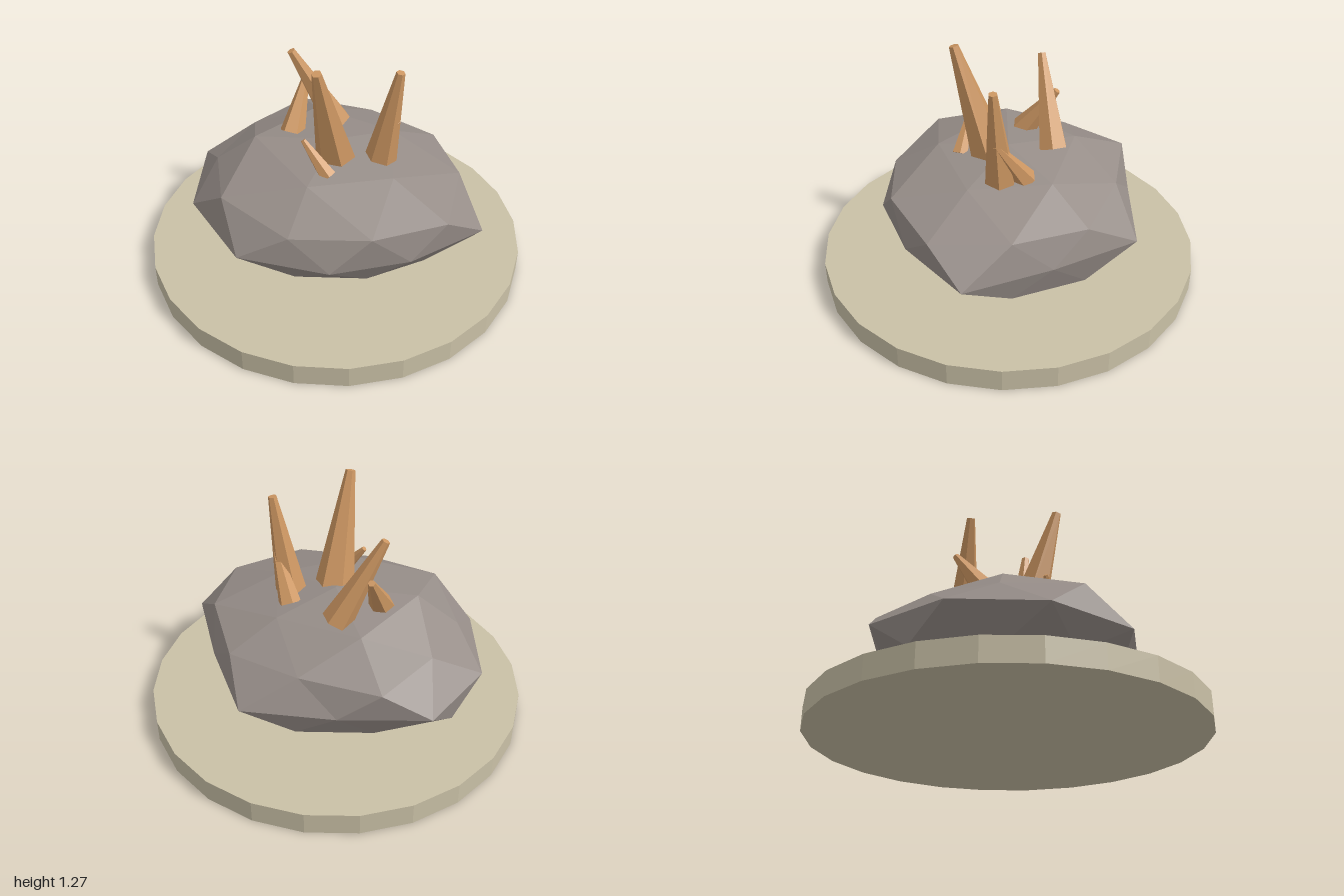
import * as THREE from 'three';

const mat = (name, color) => {
  const m = new THREE.MeshStandardMaterial({ color, flatShading: true });
  m.name = name;
  return m;
};

// Faceted boulder: a subdivided icosahedron laid out in rings, each point pushed in or out
function boulderGeometry() {
  const scale = new THREE.Vector3(0.81, 0.34, 0.73), pos = [], idx = [];
  const add = (r, h, deg, f) => {
    const a = THREE.MathUtils.degToRad(deg);
    pos.push(r * Math.cos(a) * scale.x * f, 0.4 + h * scale.y * f, r * Math.sin(a) * scale.z * f);
    return pos.length / 3 - 1;
  };
  const tri = (flip, a, b, c) => (flip ? idx.push(a, c, b) : idx.push(a, b, c));

  const equator = [0.85, 0.88, 1, 1, 1, 1, 0.86, 1.03, 0.86, 1.02]
    .map((f, k) => add(1, 0, 18 + 36 * k, f));

  // One half; "shift" turns the lower half by one step of 36 degrees
  const half = (sign, shift, poleF, capF, ringF) => {
    const flip = sign < 0;
    const pole = add(0, sign, 0, poleF);
    const cap = capF.map((f, j) => add(0.526, 0.851 * sign, 36 * shift + 72 * j, f));
    const ring = ringF.map((f, k) => ((k + shift) % 2 === 0
      ? add(0.894, 0.447 * sign, 36 * k, f)
      : add(0.851, 0.526 * sign, 36 * k, f)));
    const R = (k) => ring[(k + 10) % 10];
    for (let j = 0; j < 5; j++) {
      const t = cap[j], next = cap[(j + 1) % 5], k = 2 * j + shift;
      tri(flip, pole, next, t);
      tri(flip, t, next, R(k + 1));
      tri(flip, t, R(k + 1), R(k));
      tri(flip, t, R(k), R(k - 1));
    }
    for (let k = 0; k < 10; k++) {
      tri(flip, R(k), R(k + 1), equator[k]);
      tri(flip, R(k + 1), equator[(k + 1) % 10], equator[k]);
    }
  };
  half(1, 0, 0.95, [0.9, 0.97, 1.03, 0.95, 0.9],
    [1, 0.97, 0.94, 1.03, 0.91, 0.88, 0.99, 0.9, 0.94, 0.97]);
  half(-1, 1, 0.95, [0.98, 0.99, 0.85, 0.9, 0.98],
    [0.87, 0.83, 0.88, 0.86, 0.9, 1.03, 0.9, 0.93, 0.98, 0.94]);

  const g = new THREE.BufferGeometry();
  g.setAttribute('position', new THREE.Float32BufferAttribute(pos, 3));
  g.setIndex(idx);
  const flat = g.toNonIndexed();
  flat.computeVertexNormals();
  return flat;
}

// Six-sided tapered spike from a base point to a tip point
function spike(name, base, tip, rBase, rTip, material) {
  const a = new THREE.Vector3(...base), b = new THREE.Vector3(...tip);
  const dir = b.clone().sub(a);
  const mesh = new THREE.Mesh(new THREE.CylinderGeometry(rTip, rBase, dir.length(), 6), material);
  mesh.position.copy(a).add(b).multiplyScalar(0.5);
  mesh.quaternion.setFromUnitVectors(new THREE.Vector3(0, 1, 0), dir.normalize());
  mesh.name = name;
  return mesh;
}

export function createModel() {
  const group = new THREE.Group();
  group.name = 'crystalBoulder';
  const sand = mat('sand', 0xc9c0a6);
  const stone = mat('stone', 0x968d88);
  const copper = mat('copper', 0xcd9762);

  // Round plinth
  const plinth = new THREE.Mesh(new THREE.CylinderGeometry(1, 1, 0.12, 24), sand);
  plinth.position.y = 0.06;
  plinth.name = 'plinth';
  group.add(plinth);

  const boulder = new THREE.Mesh(boulderGeometry(), stone);
  boulder.name = 'boulder';
  group.add(boulder);

  // Three tall spikes, each with a small one beside it
  const spikes = [
    ['frontSpike', [0.065, 0.67, 0.07], [0.105, 1.26, 0.25], 0.105, 0.025],
    ['frontSmallSpike', [0.135, 0.67, 0.21], [0, 0.84, 0.24], 0.045, 0.014],
    ['leftSpike', [0.225, 0.65, -0.09], [0.315, 1.19, -0.11], 0.085, 0.022],
    ['leftSmallSpike', [0.15, 0.66, -0.19], [0.305, 0.91, -0.115], 0.06, 0.016],
    ['rightSpike', [-0.15, 0.68, -0.18], [-0.31, 1.12, -0.01], 0.08, 0.022],
    ['rightSmallSpike', [-0.25, 0.68, 0.06], [-0.305, 0.93, -0.11], 0.068, 0.018],
  ];
  for (const s of spikes) group.add(spike(...s, copper));

  return group;
}
